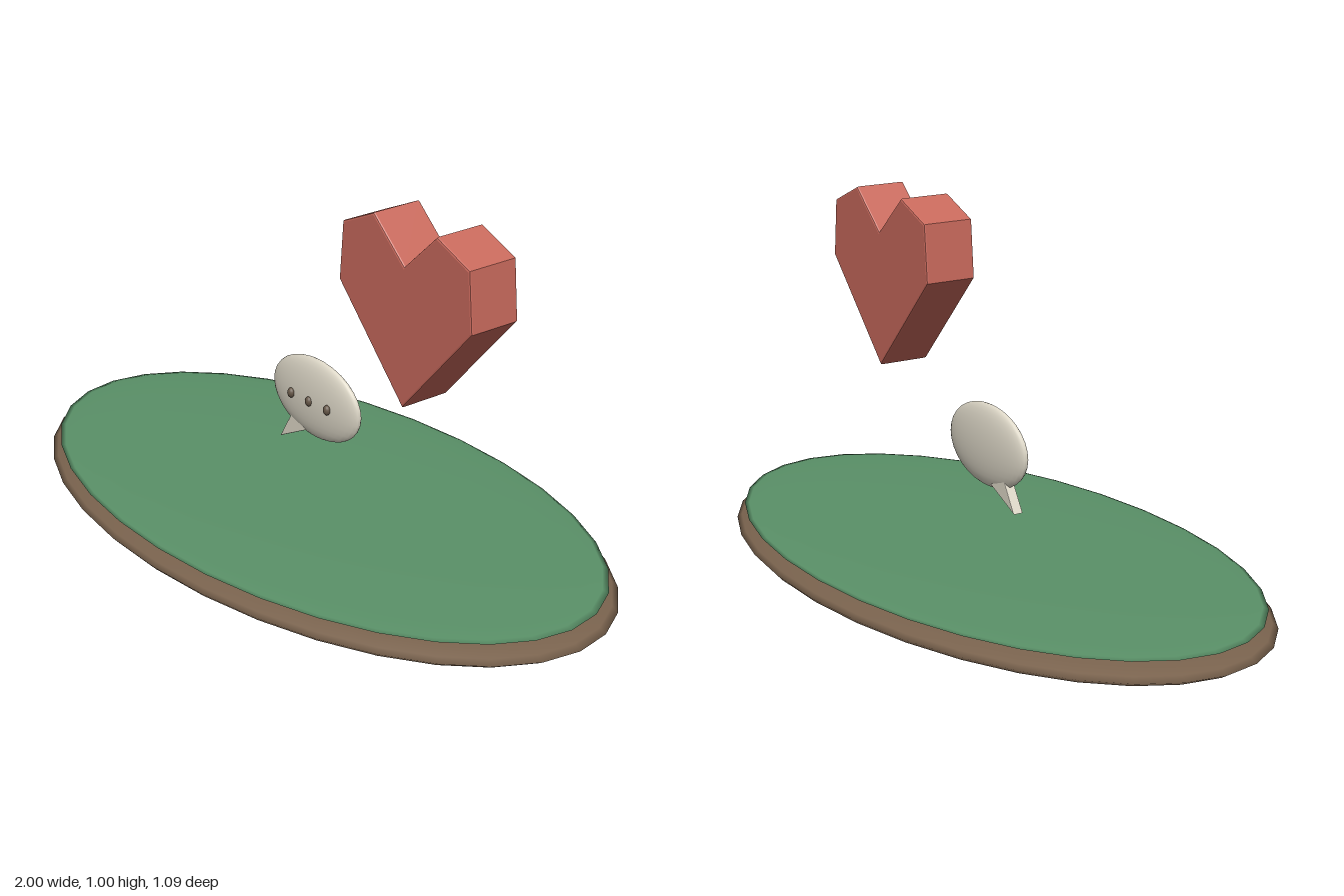
import * as THREE from 'three';

const paint = (name, color) => {
  const m = new THREE.MeshStandardMaterial({ color });
  m.name = name;
  return m;
};

// Adds a stretched sphere with the given centre and radii
function ellipsoid(parent, name, material, centre, radii, cols = 32, rows = 16) {
  const geometry = new THREE.SphereGeometry(1, cols, rows);
  geometry.scale(...radii);
  const mesh = new THREE.Mesh(geometry, material);
  mesh.name = name;
  mesh.position.set(...centre);
  parent.add(mesh);
}

// Adds an outline extruded evenly about z = 0, with a small inward bevel
function slab(parent, name, material, points, depth, bevel) {
  const shape = new THREE.Shape(points.map(([x, y]) => new THREE.Vector2(x, y)));
  const geometry = new THREE.ExtrudeGeometry(shape, {
    depth: depth - 2 * bevel,
    bevelEnabled: true,
    bevelThickness: bevel,
    bevelSize: bevel,
    bevelOffset: -bevel,
    bevelSegments: 2,
  });
  geometry.translate(0, 0, bevel - depth / 2);
  const mesh = new THREE.Mesh(geometry, material);
  mesh.name = name;
  parent.add(mesh);
  return mesh;
}

export function createModel() {
  const soil = paint('soil brown', 0x7a634e);
  const grass = paint('grass green', 0x5a9168);
  const red = paint('heart red', 0xc8695c);
  const cream = paint('bubble cream', 0xded8c8);
  const dark = paint('dot brown', 0x665748);

  const model = new THREE.Group();
  model.name = 'floatingIsland';

  // Flat oval island: soil below, grass on top
  ellipsoid(model, 'soil', soil, [0, 0.059, 0], [1, 0.059, 0.545]);
  ellipsoid(model, 'grass', grass, [0, 0.104, 0], [0.97, 0.017, 0.525]);

  // Faceted heart, mirrored about its own centre line
  const half = [[0.245, 0.79], [0.232, 0.948], [0.115, 1.0]];
  const outline = [
    [0, 0.52],
    ...half,
    [0, 0.892],
    ...half.map(([x, y]) => [-x, y]).reverse(),
  ];
  slab(model, 'heart', red, outline, 0.15, 0.005).position.x = 0.425;

  // Speech bubble with tail and three dots
  const bubble = new THREE.Group();
  bubble.name = 'speechBubble';
  model.add(bubble);
  ellipsoid(bubble, 'bubbleBody', cream, [0, 0.38, 0], [0.18, 0.113, 0.028]);
  slab(bubble, 'bubbleTail', cream, [[-0.14, 0.225], [-0.03, 0.28], [-0.09, 0.31]], 0.028, 0.002);
  for (const x of [-0.075, 0, 0.075]) {
    ellipsoid(bubble, 'bubbleDot', dark, [x, 0.378, 0.028], [0.011, 0.014, 0.01], 16, 10);
  }

  return model;
}
